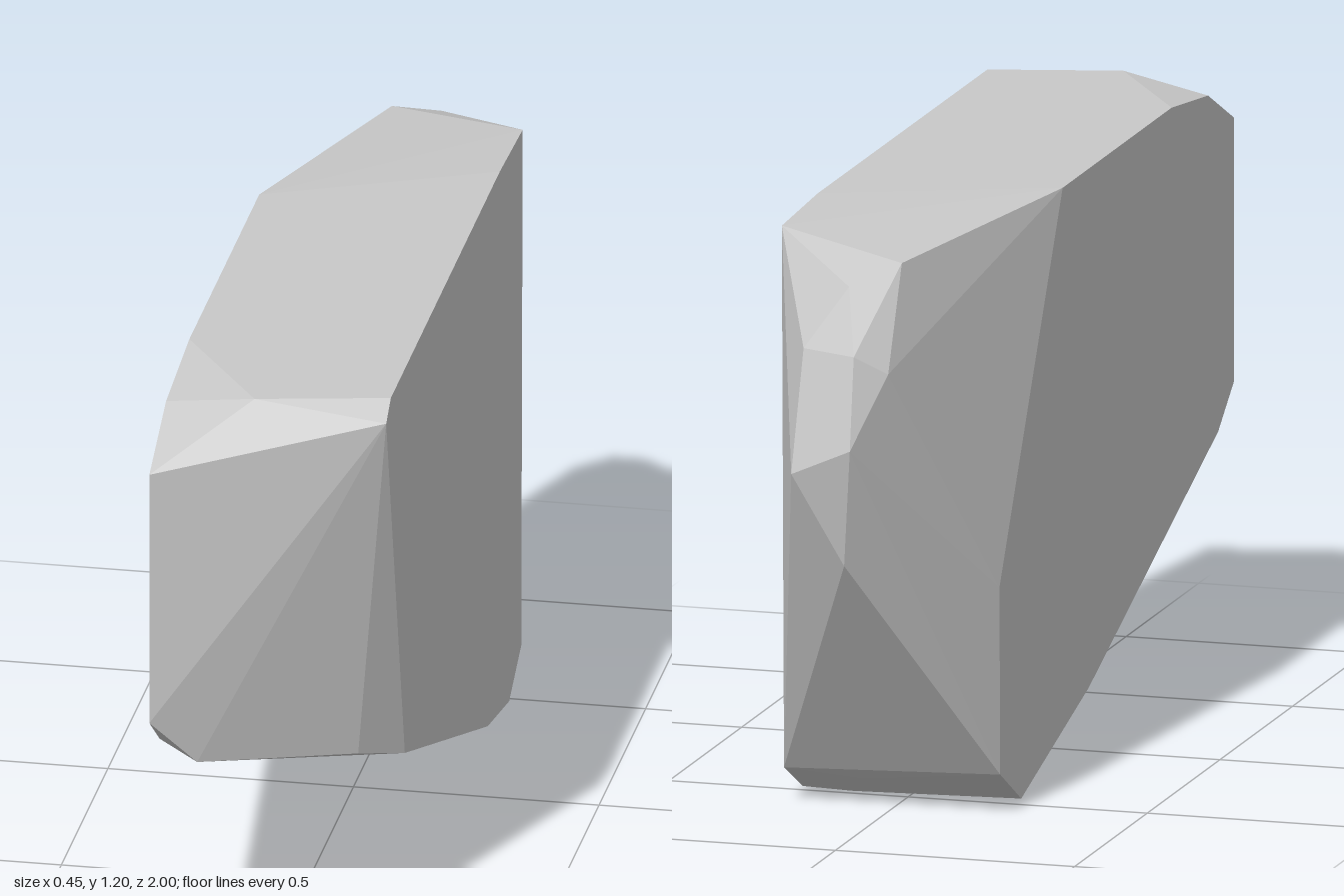
import * as THREE from 'three';
import { ConvexGeometry } from 'three/addons/geometries/ConvexGeometry.js';

const W = 0.226; // half width between the two flat sides

// Corner points [y, z] of the flat side at the given x
const side = (x, corners) => corners.map(([y, z]) => new THREE.Vector3(x, y, z));

// Loose corner points [x, y, z]
const chips = (corners) => corners.map((p) => new THREE.Vector3(...p));

export function createModel() {
  const stone = new THREE.MeshStandardMaterial({ color: 0xc8c8c8 });
  stone.name = 'stone grey';

  const points = [
    // flat side at +x
    ...side(W, [
      [1.16, 0.84], [1.195, 0.79], [1.197, -0.38], [1.185, -0.625],
      [0.07, -0.61], [0.003, -0.48], [0.045, -0.25], [0.36, 0.64],
    ]),
    // flat side at -x
    ...side(-W, [
      [1.08, 1], [1.165, 0.82], [1.195, 0.57], [1.195, -0.18], [0.47, -0.615],
      [0.085, -0.61], [0.004, -0.465], [0.13, 0], [0.46, 0.89], [0.54, 1],
    ]),
    // chipped front and bottom corners
    ...chips([
      [-0.04, 1.197, 0.85], [-0.14, 0.437, 0.94], [0.15, 0.395, 0.74],
      [0.12, 0, -0.48], [0.07, 0.048, -0.57],
    ]),
    // chipped back ridge, from top to bottom
    ...chips([
      [-0.066, 1.157, -0.76], [0.02, 1.12, -0.84], [-0.02, 1, -0.94], [0.1, 1, -0.89],
      [-0.08, 0.96, -0.9], [-0.03, 0.82, -1], [0.1, 0.76, -0.975], [0, 0.57, -0.94],
    ]),
  ];

  const rock = new THREE.Mesh(new ConvexGeometry(points), stone);
  rock.name = 'rock';

  const model = new THREE.Group();
  model.name = 'stone slab';
  model.add(rock);
  return model;
}
